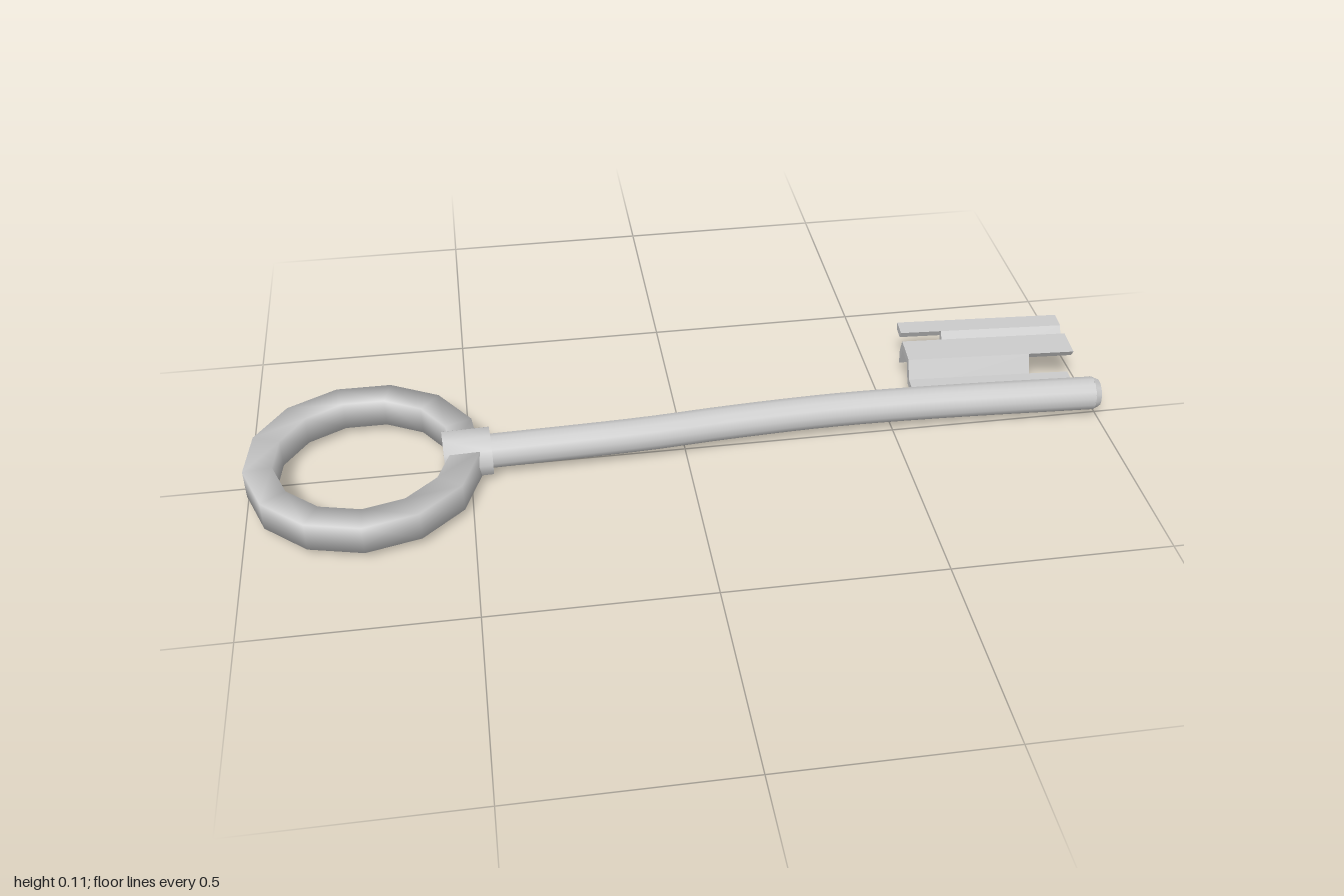
import * as THREE from 'three';
import { mergeVertices, toCreasedNormals } from 'three/addons/utils/BufferGeometryUtils.js';

const material = new THREE.MeshStandardMaterial({ color: 0xcccccc });

function part(name, geometry) {
  const mesh = new THREE.Mesh(geometry, material);
  mesh.name = name;
  return mesh;
}

// Square-section ring, welded so that its shading is soft
function ringGeometry(inner, outer, bottom, top, sides) {
  const profile = [[inner, bottom], [outer, bottom], [outer, top], [inner, top], [inner, bottom]]
    .map(([r, y]) => new THREE.Vector2(r, y));
  const raw = new THREE.LatheGeometry(profile, sides);
  raw.deleteAttribute('normal');
  raw.deleteAttribute('uv');
  const geometry = mergeVertices(raw, 1e-4);
  geometry.computeVertexNormals();
  return geometry;
}

// Cylinder lying along x
function rodGeometry(rStart, rEnd, length, sides) {
  const geometry = new THREE.CylinderGeometry(rEnd, rStart, length, sides);
  geometry.rotateZ(-Math.PI / 2);
  return toCreasedNormals(geometry, 0.9);
}

// Folded profile of the bit: distance from the shaft, height
const fold = [[0.015, 0.064], [0.094, 0.064], [0.115, 0.107], [0.182, 0.108],
  [0.202, 0.064], [0.232, 0.106], [0.275, 0.106]].map(([u, y]) => new THREE.Vector2(u, y));

// Mitred offset of the folded profile at point i
function offsetPoint(i, d) {
  const normal = (a, b) => new THREE.Vector2(a.y - b.y, b.x - a.x).normalize();
  const n1 = normal(fold[Math.max(i - 1, 0)], fold[Math.max(i, 1)]);
  const last = fold.length - 1;
  const n2 = normal(fold[Math.min(i, last - 1)], fold[Math.min(i + 1, last)]);
  const m = n1.clone().add(n2).normalize();
  return m.multiplyScalar(d / m.dot(n1)).add(fold[i]);
}

// Stretch of the folded plate from point i to point j, between x0 and x1
function plate(i, j, x0, x1) {
  const lower = [], upper = [];
  for (let k = i; k <= j; k++) {
    lower.push(offsetPoint(k, -0.009));
    upper.unshift(offsetPoint(k, 0.009));
  }
  const geometry = new THREE.ExtrudeGeometry(new THREE.Shape([...lower, ...upper]),
    { depth: x1 - x0, bevelEnabled: false });
  geometry.rotateY(Math.PI / 2);
  geometry.translate(x0, 0, 0);
  return geometry;
}

export function createModel() {
  const key = new THREE.Group();
  key.name = 'key';

  // Handle ring
  const ring = part('ring', ringGeometry(0.2, 0.265, 0.022, 0.091, 13));
  ring.position.set(-0.737, 0, 0.02);
  key.add(ring);

  // Collar joining ring and shaft
  const collar = part('collar', rodGeometry(0.057, 0.057, 0.108, 10));
  collar.position.set(-0.504, 0.057, 0.011);
  collar.rotation.y = 0.04;
  key.add(collar);

  // Slightly bent shaft
  const path = new THREE.CatmullRomCurve3(
    [[-0.5, 0.016], [-0.1, 0.003], [0.1, -0.012], [0.35, -0.023], [0.6, -0.019], [0.985, 0]]
      .map(([x, z]) => new THREE.Vector3(x, 0.06, z)));
  key.add(part('shaft', new THREE.TubeGeometry(path, 24, 0.04, 14)));

  // Bevelled tip closing the shaft
  const tip = part('shaftTip', rodGeometry(0.04, 0.033, 0.016, 14));
  tip.position.set(0.992, 0.06, 0);
  tip.rotation.y = -0.05;
  key.add(tip);

  // Folded bit with a notch on each side
  const bit = new THREE.Group();
  bit.name = 'bit';
  const pieces = [
    ['bitMiddle', 0, 6, -0.1, 0.09],
    ['bitInnerLeft', 0, 4, -0.205, -0.1],
    ['bitOuterLeft', 5, 6, -0.2, -0.1],
    ['bitInnerRight', 0, 1, 0.09, 0.185],
    ['bitOuterRight', 2, 6, 0.09, 0.2],
  ];
  for (const [name, i, j, x0, x1] of pieces) bit.add(part(name, plate(i, j, x0, x1)));
  bit.position.x = 0.76;
  bit.rotation.y = -0.06;
  key.add(bit);

  return key;
}
